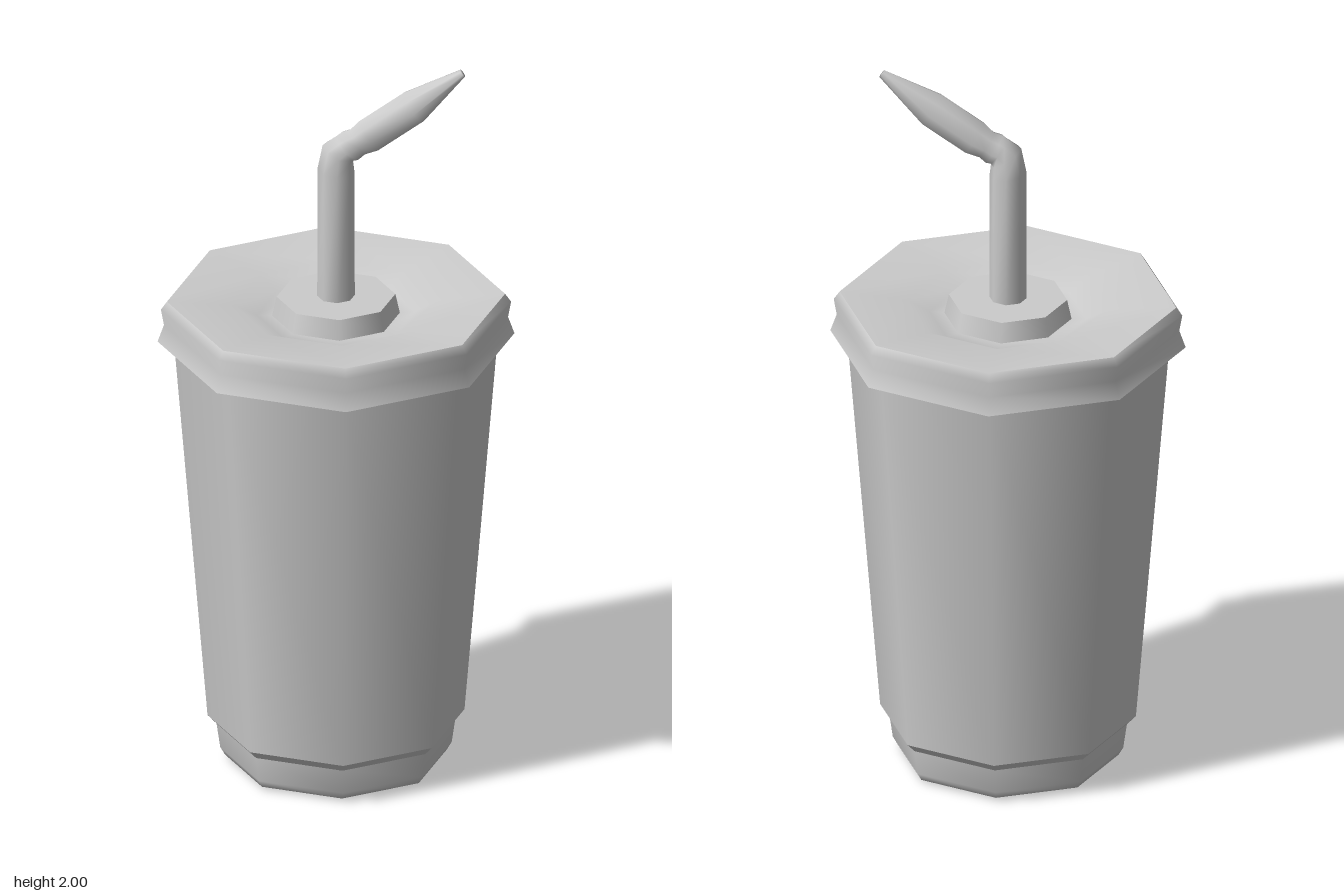
import * as THREE from 'three';

const SIDES = 8;

export function createModel() {
  const model = new THREE.Group();
  const grey = new THREE.MeshStandardMaterial({ color: 0xcccccc });
  grey.name = 'plain grey';

  const add = (name, geometry, parent = model) => {
    const mesh = new THREE.Mesh(geometry, grey);
    mesh.name = name;
    parent.add(mesh);
  };

  // Eight-sided turned surface, profile as [radius, height] from bottom to top
  const turn = (profile) =>
    new THREE.LatheGeometry(profile.map(([r, y]) => new THREE.Vector2(r, y)), SIDES);

  // Cup: bevelled foot, step and tapering wall
  const cup = new THREE.Group();
  cup.name = 'cup';
  model.add(cup);
  add('cupBase', turn([[0, 0.005], [0.27, 0], [0.295, 0.008], [0.308, 0.03], [0.318, 0.1]]), cup);
  add('cupStep', turn([[0.318, 0.1], [0.342, 0.125]]), cup);
  add('cupWall', turn([[0.342, 0.125], [0.432, 1.23]]), cup);

  // Lid: underside, flared skirt, rim, dished top and raised centre
  const lid = new THREE.Group();
  lid.name = 'lid';
  model.add(lid);
  add('lidUnderside', turn([[0.42, 1.222], [0.475, 1.222]]), lid);
  add('lidSkirt', turn([[0.475, 1.222], [0.458, 1.27], [0.466, 1.315], [0.45, 1.338]]), lid);
  add('lidTop', turn([[0.45, 1.338], [0.27, 1.322], [0.21, 1.292], [0.165, 1.29]]), lid);
  add('lidDiscSide', turn([[0.17, 1.29], [0.158, 1.345]]), lid);
  add('lidDisc', turn([[0.158, 1.345], [0, 1.345]]), lid);

  // Straw: rings of [x, y, tilt in degrees, radius] along the bend to the pinched tip
  const rings = [
    [0, 1.3, 0, 0.05], [0, 1.71, 8, 0.05], [0.005, 1.76, 32, 0.048],
    [0.024, 1.776, 55, 0.042], [0.038, 1.782, 58, 0.046], [0.058, 1.793, 58, 0.041],
    [0.09, 1.812, 56, 0.05], [0.205, 1.89, 55, 0.05], [0.337, 1.987, 54, 0.012],
    [0.337, 1.987, 54, 0],
  ];
  const positions = [];
  const indices = [];
  rings.forEach(([x, y, tilt, r], i) => {
    const t = THREE.MathUtils.degToRad(tilt);
    for (let j = 0; j < SIDES; j++) {
      const a = (j / SIDES) * Math.PI * 2;
      const u = r * Math.cos(a);
      positions.push(x + u * Math.cos(t), y - u * Math.sin(t), r * Math.sin(a));
      if (i === 0) continue;
      const k = (j + 1) % SIDES;
      const p = (i - 1) * SIDES;
      const q = i * SIDES;
      indices.push(p + j, q + j, p + k, p + k, q + j, q + k);
    }
  });
  const straw = new THREE.BufferGeometry();
  straw.setAttribute('position', new THREE.Float32BufferAttribute(positions, 3));
  straw.setIndex(indices);
  straw.computeVertexNormals();
  add('straw', straw);

  return model;
}
